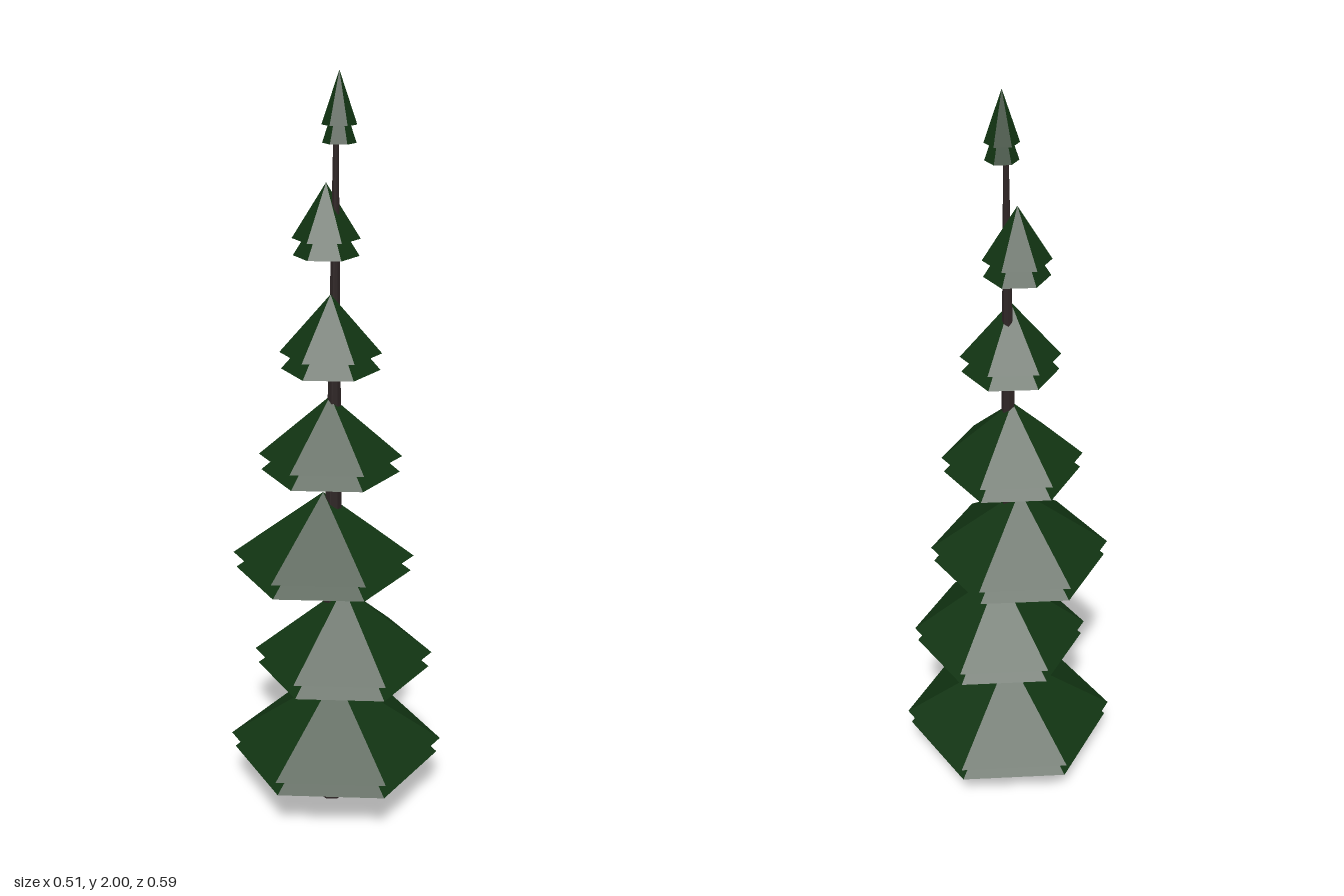
import * as THREE from 'three';

export function createModel() {
  const tree = new THREE.Group();
  tree.name = 'pineTree';

  const needles = new THREE.MeshStandardMaterial({ color: 0x113412 });
  needles.name = 'dark green needles';
  needles.flatShading = true;
  const bark = new THREE.MeshStandardMaterial({ color: 0x2e2525 });
  bark.name = 'dark brown bark';
  bark.flatShading = true;

  // Tapered trunk, leaning slightly forward towards the top
  const trunkHeight = 1.9;
  const trunkGeo = new THREE.CylinderGeometry(0.006, 0.036, trunkHeight, 7);
  trunkGeo.translate(0, trunkHeight / 2, 0);
  const pos = trunkGeo.attributes.position;
  for (let i = 0; i < pos.count; i++) {
    pos.setZ(i, pos.getZ(i) + 0.01 + 0.028 * pos.getY(i) / trunkHeight);
  }
  trunkGeo.computeVertexNormals();
  const trunk = new THREE.Mesh(trunkGeo, bark);
  trunk.name = 'trunk';
  trunk.position.x = -0.018;
  tree.add(trunk);

  // Six-sided cone of branches standing on baseY
  function addCone(parent, name, radius, height, baseY) {
    const geo = new THREE.ConeGeometry(radius, height, 6);
    geo.translate(0, baseY + height / 2, 0);
    const cone = new THREE.Mesh(geo, needles);
    cone.name = name;
    parent.add(cone);
  }

  // Branch tiers: centre x, centre z, radius, base height, tip height
  const tiers = [
    [0.0, 0.0, 0.294, 0.176, 0.37],
    [0.005, 0.037, 0.241, 0.46, 0.65],
    [-0.039, 0.004, 0.242, 0.743, 0.92],
    [-0.026, 0.021, 0.187, 1.027, 1.188],
    [-0.038, 0.047, 0.13, 1.31, 1.46],
    [-0.029, 0.005, 0.086, 1.592, 1.73],
    [-0.018, 0.055, 0.043, 1.873, 2.0],
  ];
  tiers.forEach(([x, z, radius, base, tip], i) => {
    const tier = new THREE.Group();
    tier.name = `branchTier${i + 1}`;
    tier.position.set(x, 0, z);
    const height = tip - base;
    addCone(tier, 'upperBranches', radius, height, base);
    addCone(tier, 'lowerBranches', radius * 0.97, height * 0.97, base - 0.043);
    tree.add(tier);
  });

  return tree;
}
